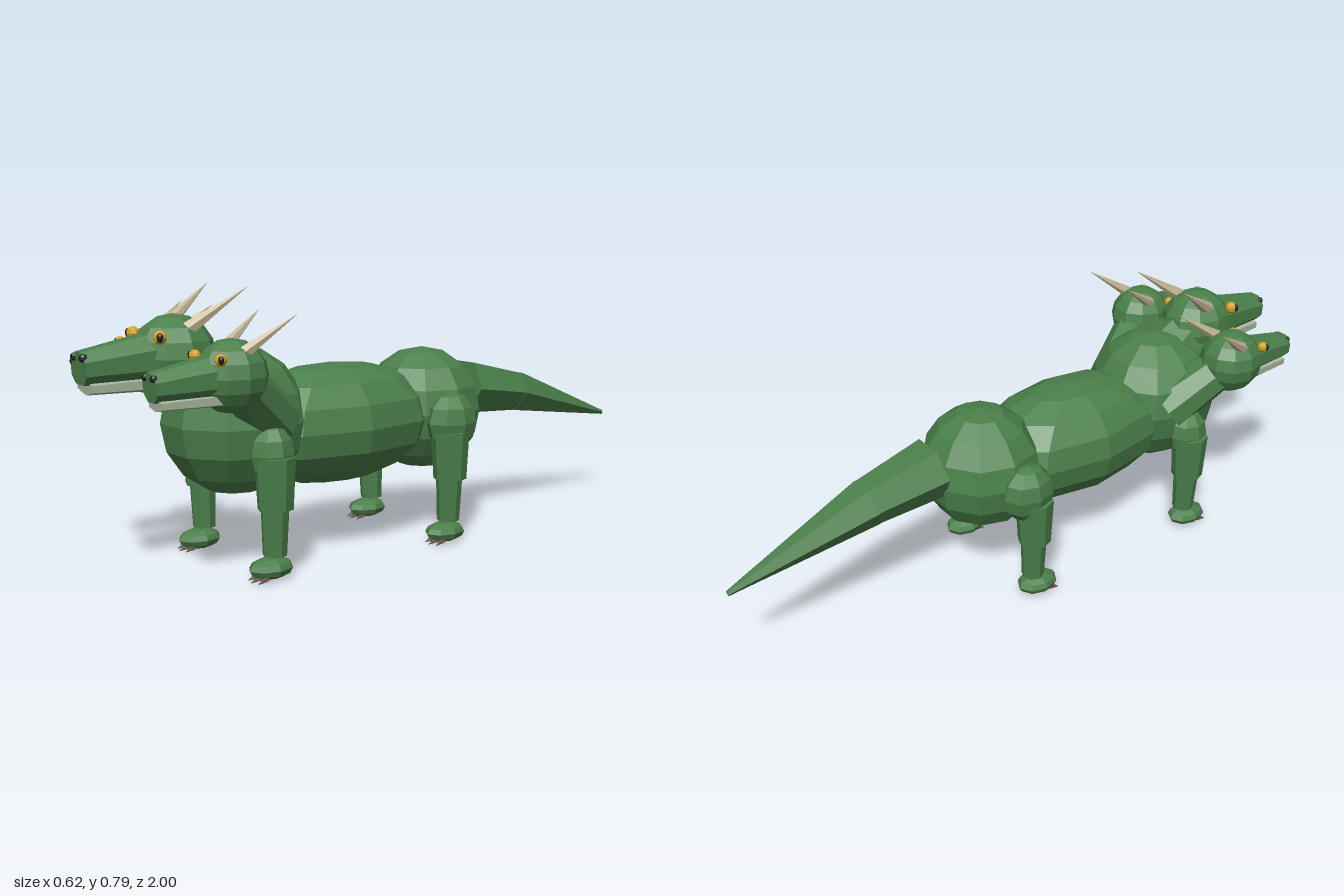
import * as THREE from 'three';

const paint = (name, color) => {
  const m = new THREE.MeshStandardMaterial({ color, flatShading: true });
  m.name = name;
  return m;
};

export function createModel() {
  const scales = paint('green scales', 0x4a7f4a);
  const horn = paint('horn bone', 0xc2b594);
  const jawSkin = paint('pale jaw', 0xa3b59a);
  const amber = paint('amber eye', 0xd4a020);
  const black = paint('black', 0x1a1a1a);
  const claw = paint('claw brown', 0x6e5a50);

  const model = new THREE.Group();
  model.name = 'threeHeadedBeast';

  // Faceted ellipsoid
  const ball = (parent, name, mat, pos, radii, w = 10, h = 8) => {
    const mesh = new THREE.Mesh(new THREE.SphereGeometry(1, w, h), mat);
    mesh.name = name;
    mesh.position.set(...pos);
    mesh.scale.set(...radii);
    parent.add(mesh);
    return mesh;
  };

  // Tapered prism from point a to point b; flat squashes its local depth
  const limb = (parent, name, mat, a, b, ra, rb, sides = 8, flat = 1, twist = 0) => {
    const from = new THREE.Vector3(...a), to = new THREE.Vector3(...b);
    const dir = to.clone().sub(from);
    const geo = new THREE.CylinderGeometry(rb, ra, dir.length(), sides);
    geo.rotateY(twist);
    geo.scale(1, 1, flat);
    const mesh = new THREE.Mesh(geo, mat);
    mesh.name = name;
    mesh.position.copy(from).add(to).multiplyScalar(0.5);
    mesh.quaternion.setFromUnitVectors(new THREE.Vector3(0, 1, 0), dir.normalize());
    parent.add(mesh);
    return mesh;
  };

  // Trunk
  ball(model, 'chest', scales, [0, 0.422, 0.53], [0.205, 0.213, 0.21]);
  ball(model, 'belly', scales, [0, 0.38, 0.19], [0.2, 0.18, 0.37]);
  ball(model, 'hips', scales, [0, 0.39, -0.155], [0.19, 0.192, 0.185]);

  // Tail
  limb(model, 'tailBase', scales, [0, 0.44, -0.328], [0, 0.405, -0.56], 0.093, 0.07, 6, 1, Math.PI / 6);
  limb(model, 'tailTip', scales, [0, 0.406, -0.55], [0, 0.287, -0.998], 0.073, 0.008, 6, 1, Math.PI / 6);

  // Legs with feet and claws
  const addLeg = (side, z, front) => {
    const leg = new THREE.Group();
    leg.name = (front ? 'front' : 'rear') + (side > 0 ? 'LeftLeg' : 'RightLeg');
    leg.position.set(side * 0.2, 0, z);
    model.add(leg);
    if (front) ball(leg, 'shoulder', scales, [-side * 0.012, 0.35, 0], [0.056, 0.083, 0.066], 8, 6);
    else ball(leg, 'thigh', scales, [-side * 0.012, 0.37, -0.015], [0.065, 0.092, 0.085], 8, 6);
    limb(leg, 'upperLeg', scales, [0, 0.2, 0], [0, 0.345, 0], 0.05, 0.058, 8);
    limb(leg, 'lowerLeg', scales, [side * -0.007, 0.07, 0], [side * -0.003, 0.21, 0], 0.034, 0.04, 8);
    ball(leg, 'foot', scales, [side * -0.004, 0.037, 0.015], [0.05, 0.03, 0.068], 8, 6);
    for (const i of [-1, 0, 1])
      limb(leg, 'claw', claw, [i * 0.023, 0.018, 0.045], [i * 0.026, 0.007, 0.082 - Math.abs(i) * 0.008], 0.01, 0.001, 5);
  };
  for (const side of [1, -1]) {
    addLeg(side, 0.525, true);
    addLeg(side, -0.103, false);
  }

  // Necks
  limb(model, 'middleNeck', scales, [0, 0.47, 0.52], [0, 0.6, 0.7], 0.12, 0.09, 8);
  for (const side of [1, -1])
    limb(model, 'sideNeck', scales, [side * 0.13, 0.43, 0.48], [side * 0.21, 0.565, 0.645], 0.08, 0.063, 8);

  // Heads
  const addHead = (name, pos, size) => {
    const head = new THREE.Group();
    head.name = name;
    head.position.set(...pos);
    head.scale.setScalar(size);
    model.add(head);
    ball(head, 'skull', scales, [0, 0, 0], [0.112, 0.115, 0.118], 10, 8);
    limb(head, 'snout', scales, [0, 0.002, 0.05], [0, -0.014, 0.272], 0.074, 0.047, 8, 1, Math.PI / 8);
    limb(head, 'jaw', jawSkin, [0, -0.064, 0.06], [0, -0.066, 0.255], 0.062, 0.046, 6, 0.42);
    for (const s of [1, -1]) {
      ball(head, 'eye', amber, [s * 0.077, 0.06, 0.08], [0.019, 0.019, 0.019], 8, 6);
      ball(head, 'pupil', black, [s * 0.091, 0.061, 0.087], [0.009, 0.013, 0.009], 6, 5);
      ball(head, 'nostril', black, [s * 0.026, 0.015, 0.272], [0.0115, 0.0115, 0.0115], 6, 5);
      limb(head, 'horn', horn, [s * 0.06, 0.075, -0.01], [s * 0.108, 0.184, -0.168], 0.022, 0.001, 6);
    }
  };
  addHead('middleHead', [0, 0.615, 0.715], 1);
  addHead('leftHead', [0.215, 0.579, 0.665], 0.86);
  addHead('rightHead', [-0.215, 0.579, 0.665], 0.86);

  return model;
}
